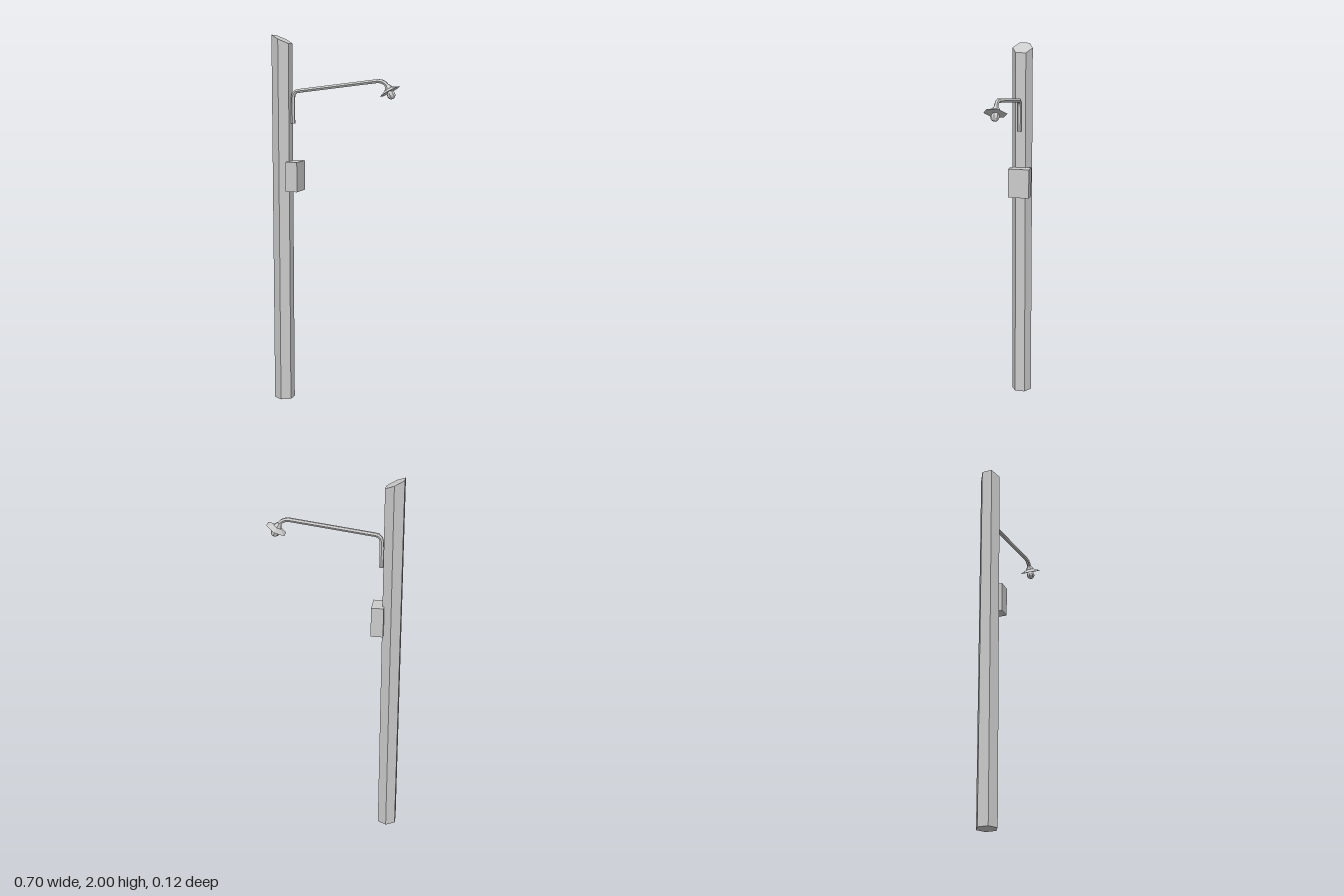
import * as THREE from 'three';

const material = new THREE.MeshStandardMaterial({ color: 0xcccccc, flatShading: true });

function addMesh(parent, name, geometry, x = 0, y = 0, z = 0) {
  const mesh = new THREE.Mesh(geometry, material);
  mesh.name = name;
  mesh.position.set(x, y, z);
  parent.add(mesh);
  return mesh;
}

// Six-sided capped rod that follows a path in the xy plane
function hexRod(path, radius) {
  const sides = 6;
  const points = path.map(([x, y]) => new THREE.Vector2(x, y));
  const last = points.length - 1;
  const positions = [];
  const index = [];
  points.forEach((p, i) => {
    const before = p.clone().sub(points[Math.max(i - 1, 0)]).normalize();
    const after = points[Math.min(i + 1, last)].clone().sub(p).normalize();
    const t = before.add(after).normalize();
    for (let k = 0; k < sides; k++) {
      const a = (k / sides) * Math.PI * 2;
      const s = Math.sin(a) * radius;
      positions.push(p.x - t.y * s, p.y + t.x * s, Math.cos(a) * radius);
    }
  });
  for (let i = 0; i < last; i++) {
    for (let k = 0; k < sides; k++) {
      const a = i * sides + k;
      const b = i * sides + ((k + 1) % sides);
      index.push(a, a + sides, b + sides, a, b + sides, b);
    }
  }
  const end = last * sides;
  for (let k = 1; k < sides - 1; k++) {
    index.push(0, k, k + 1, end, end + k + 1, end + k);
  }
  const geometry = new THREE.BufferGeometry();
  geometry.setAttribute('position', new THREE.Float32BufferAttribute(positions, 3));
  geometry.setIndex(index);
  geometry.computeVertexNormals();
  return geometry;
}

export function createModel() {
  const model = new THREE.Group();
  model.name = 'streetLamp';

  // Hexagonal pole whose top is cut on a slant towards the lamp
  const poleGeometry = new THREE.CylinderGeometry(0.0555, 0.0555, 2, 6);
  const vertices = poleGeometry.attributes.position;
  for (let i = 0; i < vertices.count; i++) {
    if (vertices.getY(i) > 0) vertices.setY(i, 0.977 - vertices.getX(i) * 0.47);
  }
  poleGeometry.computeVertexNormals();
  addMesh(model, 'pole', poleGeometry, -0.301, 1, -0.0035);

  // Control box on the side of the pole
  addMesh(model, 'controlBox', new THREE.BoxGeometry(0.065, 0.16, 0.116), -0.2295, 1.25, -0.005);

  // Bent arm
  const armPath = [
    [-0.239, 1.533], [-0.239, 1.672], [-0.234, 1.69], [-0.222, 1.702], [-0.205, 1.706],
    [0.238, 1.763], [0.258, 1.76], [0.274, 1.752], [0.287, 1.738],
  ];
  addMesh(model, 'arm', hexRod(armPath, 0.0115), 0, 0, -0.0015);

  // Tilted lamp head: flared shade and bulb
  const head = new THREE.Group();
  head.name = 'lampHead';
  head.position.set(0.303, 1.71, -0.0015);
  head.rotation.z = Math.PI / 6;
  model.add(head);

  const shadeProfile = [[0, 0.004], [0.061, 0], [0.024, 0.016], [0.0125, 0.036], [0, 0.036]]
    .map(([r, y]) => new THREE.Vector2(r, y));
  addMesh(head, 'shade', new THREE.LatheGeometry(shadeProfile, 6));
  addMesh(head, 'bulb', new THREE.SphereGeometry(0.023, 8, 6), -0.004, -0.018, 0);

  return model;
}
